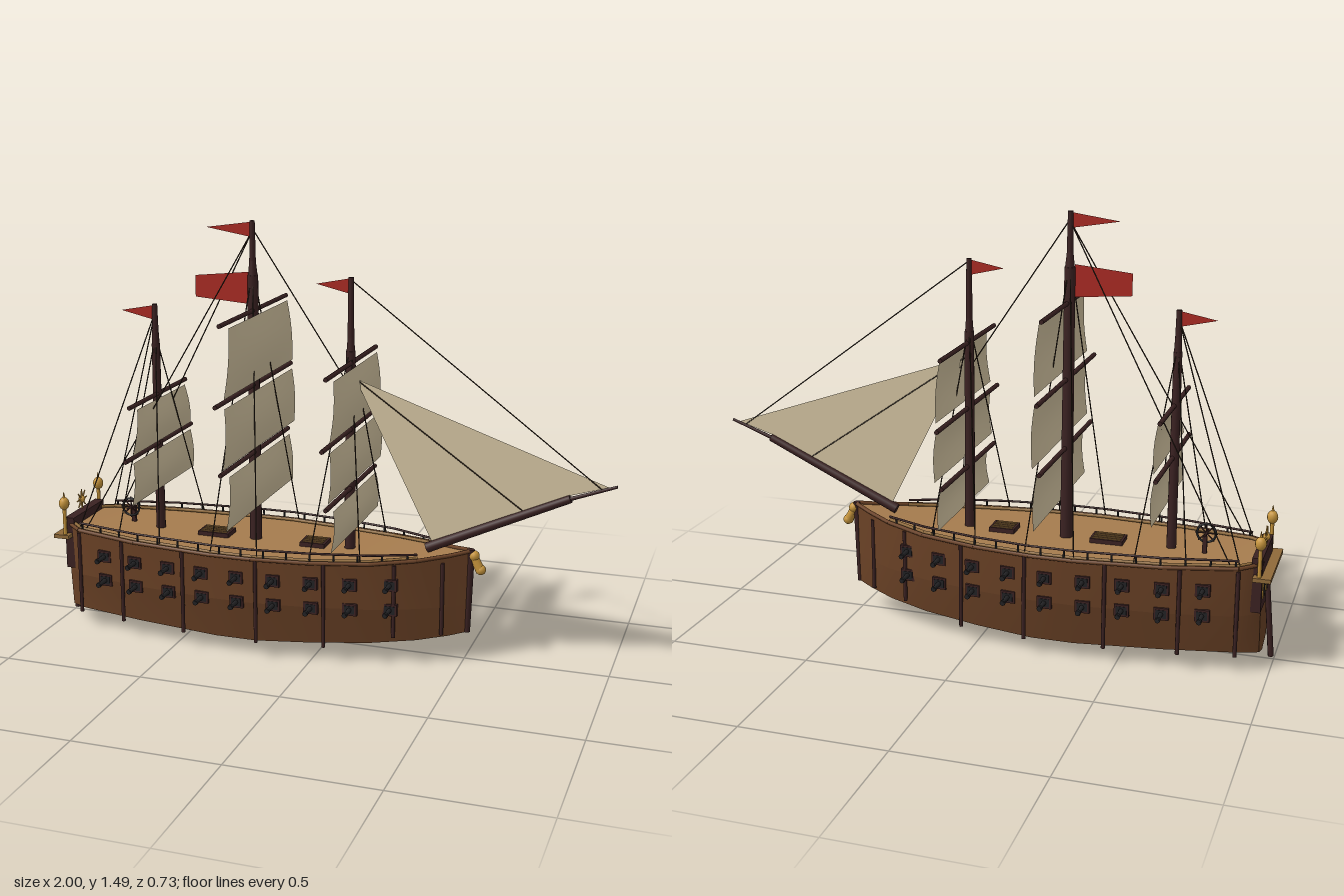
import * as THREE from 'three';

const mat = (name, color, side = THREE.FrontSide) => {
  const m = new THREE.MeshStandardMaterial({ color, side });
  m.name = name;
  return m;
};
const V = (x, y, z) => new THREE.Vector3(x, y, z);

// Hull stations: x, half width, keel height, top height
const ST = [
  [-0.96, 0.1, 0.03, 0.375], [-0.89, 0.155, 0.025, 0.37], [-0.65, 0.205, 0.01, 0.365],
  [-0.35, 0.232, 0, 0.362], [-0.2, 0.232, 0, 0.362], [0, 0.208, 0.01, 0.362],
  [0.2, 0.165, 0.03, 0.366], [0.35, 0.105, 0.055, 0.375], [0.45, 0.045, 0.08, 0.385], [0.51, 0.008, 0.1, 0.395],
];
function station(x) {
  let i = 0;
  while (i < ST.length - 2 && x > ST[i + 1][0]) i++;
  const t = THREE.MathUtils.clamp((x - ST[i][0]) / (ST[i + 1][0] - ST[i][0]), 0, 1);
  return ST[i].map((v, k) => THREE.MathUtils.lerp(v, ST[i + 1][k], t));
}
// Half section from keel to top edge, as [z, y]
const section = ([, w, k, top]) => {
  const chine = k + 0.05 * Math.min(1, w / 0.2);
  return [[0, k], [0.83 * w, chine], [0.96 * w, 0.2], [w, top]];
};
// Surface through two rows of points
function strip(a, b, flip) {
  const pos = [], idx = [];
  a.forEach((p, i) => {
    pos.push(...p, ...b[i]);
    if (!i) return;
    const q = 2 * i;
    idx.push(...(flip ? [q - 2, q - 1, q, q - 1, q + 1, q] : [q - 2, q, q - 1, q - 1, q, q + 1]));
  });
  const g = new THREE.BufferGeometry();
  g.setAttribute('position', new THREE.Float32BufferAttribute(pos, 3));
  g.setIndex(idx);
  g.computeVertexNormals();
  return g;
}

export function createModel() {
  const ship = new THREE.Group();
  ship.name = 'sailingShip';
  const hull = mat('hullWood', 0x6b4226, THREE.DoubleSide), deck = mat('deckWood', 0xa67c4e, THREE.DoubleSide);
  const dark = mat('darkWood', 0x3b2222), iron = mat('iron', 0x222224), gold = mat('gold', 0xc8963c);
  const sailM = mat('sailCloth', 0xd6c6a3, THREE.DoubleSide), red = mat('flagRed', 0xab2a22, THREE.DoubleSide);
  const rope = mat('rope', 0x33271c), trim = mat('trimWood', 0x8f6a3a);

  const add = (name, geo, m, x = 0, y = 0, z = 0) => {
    const mesh = new THREE.Mesh(geo, m);
    mesh.name = name;
    mesh.position.set(x, y, z);
    ship.add(mesh);
    return mesh;
  };
  const box = (name, m, w, h, d, x, y, z) => add(name, new THREE.BoxGeometry(w, h, d), m, x, y, z);
  // Round bar from a to b
  const bar = (name, m, a, b, r0, r1 = r0, n = 8) => {
    const dir = b.clone().sub(a);
    const mesh = add(name, new THREE.CylinderGeometry(r1, r0, dir.length(), n), m);
    mesh.position.copy(a).add(b).multiplyScalar(0.5);
    mesh.quaternion.setFromUnitVectors(V(0, 1, 0), dir.normalize());
    return mesh;
  };
  const line = (a, b) => bar('rigging', rope, a, b, 0.0022, 0.0022, 5);
  const flat = (name, m, pts) => add(name, new THREE.ShapeGeometry(new THREE.Shape(pts.map(p => new THREE.Vector2(...p)))), m);

  // Hull planking, with a crease along each row
  for (const s of [1, -1]) for (let r = 0; r < 3; r++) {
    const row = k => ST.map(st => { const [z, y] = section(st)[k]; return [st[0], y, s * z]; });
    add('hullSide', strip(row(r), row(r + 1), s < 0), hull);
  }
  const sternHalf = section(ST[0]);
  add('transom', strip(sternHalf.map(([z, y]) => [-0.96, y, -z]), sternHalf.map(([z, y]) => [-0.96, y, z]), false), hull);
  add('bowFace', strip(section(ST[9]).map(([z, y]) => [0.51, y, z]), section(ST[9]).map(([z, y]) => [0.51, y, -z]), false), hull);
  add('deck', strip(ST.map(s => [s[0], s[3] - 0.004, -s[1]]), ST.map(s => [s[0], s[3] - 0.004, s[1]]), true), deck);

  for (const s of [1, -1]) {
    // Cap rail and thin hand rail on posts
    for (let i = 0; i < ST.length - 1; i++) {
      const [a, b] = [ST[i], ST[i + 1]];
      bar('gunwale', hull, V(a[0], a[3], s * a[1]), V(b[0], b[3], s * b[1]), 0.007);
      if (i < 7) bar('capRail', trim, V(a[0], a[3] + 0.004, s * (a[1] - 0.018)), V(b[0], b[3] + 0.004, s * (b[1] - 0.018)), 0.006);
      if (i > 0 && i < 7) bar('handRail', dark, V(a[0], 0.393, s * (a[1] - 0.012)), V(b[0], 0.393, s * (b[1] - 0.012)), 0.004);
    }
    for (let i = 0; i < 16; i++) {
      const x = -0.88 + i * 0.08, w = station(x)[1] - 0.012;
      bar('railPost', iron, V(x, 0.36, s * w), V(x, 0.395, s * w), 0.0035, 0.0035, 6);
    }
    // Vertical rubbing posts
    for (const x of [-0.89, -0.705, -0.46, -0.185, 0.05, 0.28, 0.43]) {
      const w = station(x)[1];
      bar('hullRib', dark, V(x, x > 0.2 ? 0.1 : 0.06, s * w), V(x, 0.36, s * w), 0.007);
    }
    // Two rows of gun ports with cannons
    for (let i = 0; i < 9; i++) for (const y of [0.29, 0.2]) {
      const x = -0.78 + i * 0.131, w = station(x)[1] * (y > 0.25 ? 0.98 : 0.96);
      box('gunPort', dark, 0.05, 0.042, 0.016, x, y, s * w);
      box('portOpening', iron, 0.036, 0.028, 0.004, x, y, s * (w + 0.008));
      bar('cannon', iron, V(x, y, s * w), V(x, y, s * (w + 0.065)), 0.0085, 0.0065);
      bar('muzzle', iron, V(x, y, s * (w + 0.052)), V(x, y, s * (w + 0.064)), 0.0095);
    }
  }

  // Bow stem and figurehead
  bar('stem', dark, V(0.505, 0.1, 0), V(0.515, 0.4, 0), 0.013);
  bar('figureBody', gold, V(0.52, 0.385, 0), V(0.55, 0.325, 0), 0.014, 0.017, 10);
  add('figureHead', new THREE.SphereGeometry(0.019, 12, 8), gold, 0.526, 0.378, 0);
  add('figureBase', new THREE.SphereGeometry(0.018, 12, 8), gold, 0.55, 0.33, 0);

  // Stern gallery, rudder and lanterns
  box('sternPanel', dark, 0.035, 0.19, 0.24, -0.945, 0.305, 0);
  box('sternLedge', trim, 0.06, 0.014, 0.3, -0.965, 0.335, 0);
  for (const z of [-0.075, 0, 0.075]) {
    box('sternWindow', gold, 0.006, 0.055, 0.045, -0.963, 0.28, z);
    box('windowGlass', iron, 0.006, 0.043, 0.033, -0.965, 0.28, z);
  }
  bar('rudder', dark, V(-0.99, 0.01, 0), V(-0.966, 0.27, 0), 0.01);
  for (const z of [-0.135, 0.135]) {
    bar('lanternPost', gold, V(-0.955, 0.34, z), V(-0.955, 0.44, z), 0.007);
    add('lantern', new THREE.SphereGeometry(0.019, 12, 8), gold, -0.955, 0.458, z).scale.y = 1.25;
    bar('lanternTip', gold, V(-0.955, 0.475, z), V(-0.955, 0.5, z), 0.006, 0.001);
  }
  // Radiating crest on the stern rail
  add('crestHub', new THREE.SphereGeometry(0.013, 10, 8), gold, -0.955, 0.435, 0);
  for (let i = 0; i < 8; i++) {
    const a = i * Math.PI / 4;
    bar('crestRay', gold, V(-0.955, 0.435, 0), V(-0.955, 0.435 + 0.038 * Math.sin(a), 0.038 * Math.cos(a)), 0.005, 0.002, 6);
  }

  // Steering wheel
  add('wheelRim', new THREE.TorusGeometry(0.032, 0.004, 8, 24), iron, -0.755, 0.425, 0);
  for (let i = 0; i < 4; i++) {
    const a = i * Math.PI / 4, c = 0.038 * Math.cos(a), d = 0.038 * Math.sin(a);
    bar('wheelSpoke', dark, V(-0.755 - c, 0.425 - d, 0), V(-0.755 + c, 0.425 + d, 0), 0.0025, 0.0025, 6);
  }
  bar('wheelAxle', dark, V(-0.755, 0.425, -0.03), V(-0.755, 0.425, 0.03), 0.004);
  box('wheelStand', dark, 0.015, 0.06, 0.012, -0.755, 0.392, -0.025);

  // Deck gratings
  for (const [x, w] of [[-0.418, 0.115], [-0.045, 0.09]]) {
    box('hatch', dark, w, 0.016, 0.076, x, 0.366, 0);
    for (let i = 0; i < 4; i++) box('hatchSlat', trim, w - 0.016, 0.004, 0.009, x, 0.375, -0.027 + i * 0.018);
  }

  // Square sail with a slight forward belly
  const squareSail = (x, yTop, yBottom, wTop, wBottom) => {
    const g = new THREE.PlaneGeometry(2, 1, 10, 6), p = g.attributes.position;
    for (let i = 0; i < p.count; i++) {
      const u = p.getX(i), v = 0.5 - p.getY(i);
      p.setXYZ(i, x + 0.018 * Math.sin(Math.PI * v) * (1 - u * u * 0.6), THREE.MathUtils.lerp(yTop, yBottom, v),
        -u * THREE.MathUtils.lerp(wTop, wBottom, v));
    }
    g.computeVertexNormals();
    add('squareSail', g, sailM);
  };

  // Masts; sails as yard height, yard half length, sail foot height, foot half width
  const masts = [
    { x: -0.637, top: 1.18, joint: 1.04, r: 0.017, pennant: 0.12, sails: [[0.86, 0.24, 0.695, 0.25], [0.68, 0.283, 0.52, 0.265]] },
    { x: -0.268, top: 1.485, joint: 1.3, r: 0.022, pennant: 0.16, sails: [[1.18, 0.32, 0.94, 0.333], [0.92, 0.367, 0.705, 0.35], [0.68, 0.333, 0.487, 0.33]] },
    { x: 0.083, top: 1.31, joint: 1.06, r: 0.019, pennant: 0.115, sails: [[1.02, 0.285, 0.81, 0.29], [0.79, 0.325, 0.61, 0.305], [0.58, 0.285, 0.43, 0.275]] },
  ];
  for (const { x, top, joint, r, pennant, sails } of masts) {
    bar('lowerMast', dark, V(x, 0.35, 0), V(x, joint, 0), r, r * 0.85, 12);
    bar('mastCap', dark, V(x, joint - 0.02, 0), V(x, joint + 0.05, 0), r * 0.85, 0.011, 12);
    bar('topMast', dark, V(x, joint, 0), V(x, top, 0), 0.012, 0.009, 10);
    flat('pennant', red, [[x - 0.008, top - 0.055], [x - 0.008, top - 0.005], [x - pennant - 0.008, top - 0.028]]);
    for (const [y, half, foot, wFoot] of sails) {
      bar('yard', dark, V(x + 0.004, y, -half), V(x + 0.004, y, half), 0.008);
      squareSail(x + r, y - 0.012, foot, half - 0.037, wFoot);
    }
    // Shrouds to both sides of the hull
    for (const s of [1, -1]) for (const dx of [-0.085, 0.085]) {
      line(V(x, joint + 0.03, 0), V(x + dx, 0.37, s * (station(x + dx)[1] - 0.012)));
    }
  }
  flat('ensign', red, [[-0.285, 1.2], [-0.285, 1.31], [-0.48, 1.29], [-0.48, 1.215]]);

  // Bowsprit, jib and stays
  bar('bowsprit', dark, V(0.36, 0.39, 0), V(0.845, 0.612, 0), 0.018, 0.014, 10);
  bar('jibBoom', dark, V(0.84, 0.61, 0), V(0.996, 0.667, 0), 0.007, 0.005);
  flat('jib', sailM, [[0.1, 0.965], [0.38, 0.405], [0.84, 0.622], [0.97, 0.662]]);
  line(V(0.1, 0.965, 0), V(0.7, 0.545, 0));
  line(V(0.085, 1.3, 0), V(0.95, 0.65, 0));
  line(V(-0.268, 1.46, 0), V(0.083, 0.93, 0));
  for (const s of [1, -1]) {
    line(V(-0.268, 1.45, 0), V(-0.86, 0.38, s * 0.15));
    line(V(-0.637, 1.15, 0), V(-0.89, 0.38, s * 0.14));
  }
  return ship;
}
